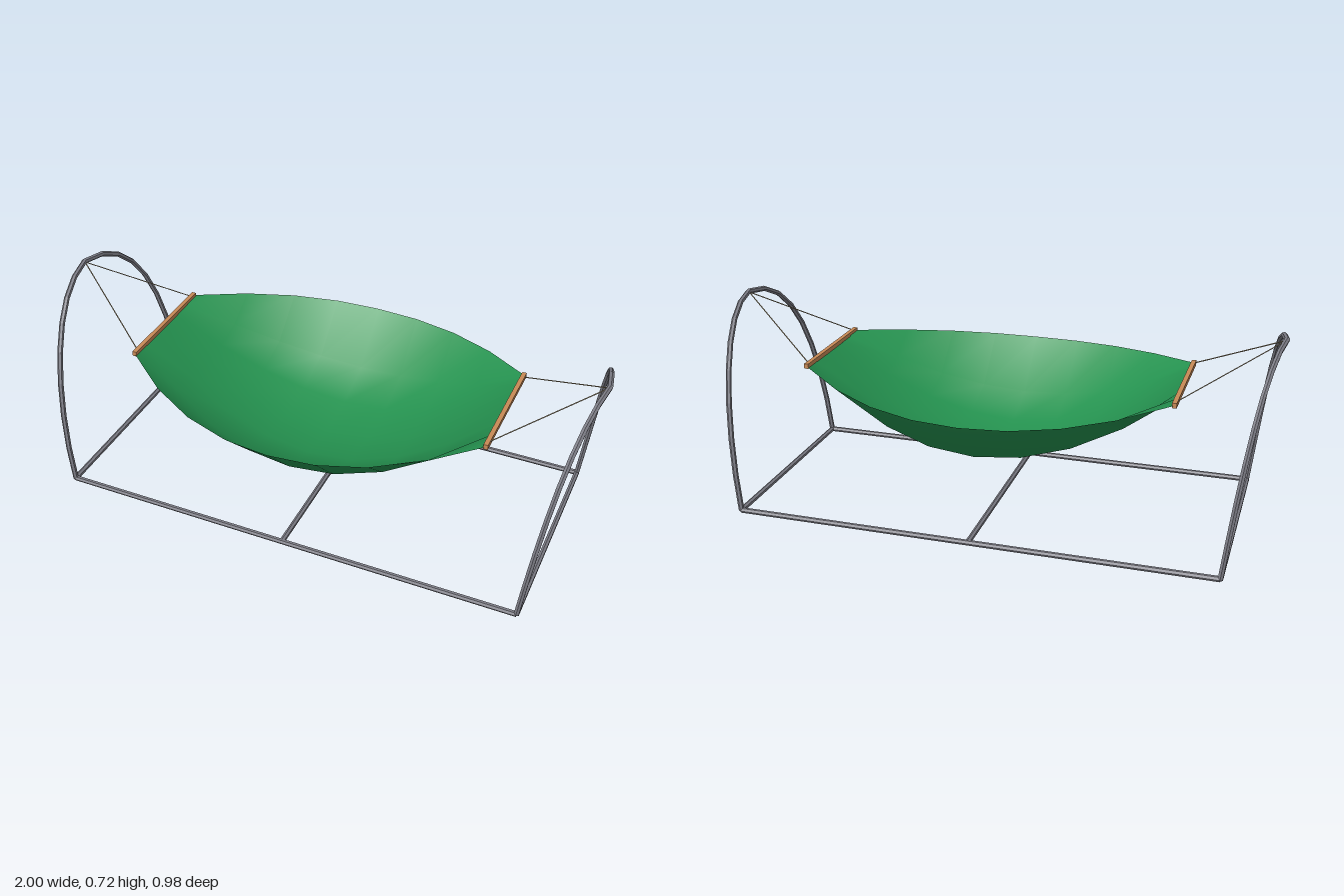
import * as THREE from 'three';

const mat = (name, color, options = {}) => {
  const m = new THREE.MeshStandardMaterial({ color, ...options });
  m.name = name;
  return m;
};
const v = (x, y, z) => new THREE.Vector3(x, y, z);

const R = 0.01, footX = 0.867, footZ = 0.4;

// Half of an end arch, from its foot up to the peak
class HalfArch extends THREE.Curve {
  constructor(sx, sz) {
    super();
    this.sx = sx;
    this.sz = sz;
  }
  getPoint(k, target = v(0, 0, 0)) {
    return target.set(
      this.sx * (footX + 0.122 * k),
      R + 0.705 * Math.sin((k * Math.PI) / 2),
      this.sz * footZ * (1 - k * k)
    );
  }
  getPointAt(k, target) { return this.getPoint(k, target); }
  getTangentAt(k, target) { return this.getTangent(k, target); }
}

export function createModel() {
  const group = new THREE.Group();
  group.name = 'hammock';
  const steel = mat('steel grey', 0x7d7d86, { flatShading: true });
  const wood = mat('wood brown', 0xc88a56);
  const cord = mat('tan cord', 0xa89878);
  const cloth = mat('green cloth', 0x259350, { side: THREE.DoubleSide });

  const add = (name, geometry, material) => {
    const m = new THREE.Mesh(geometry, material);
    m.name = name;
    group.add(m);
    return m;
  };

  // Straight round bar between two points
  const bar = (name, a, b, r, material) => {
    const d = b.clone().sub(a);
    const m = add(name, new THREE.CylinderGeometry(r, r, d.length(), 6), material);
    m.position.copy(a).add(b).multiplyScalar(0.5);
    m.quaternion.setFromUnitVectors(v(0, 1, 0), d.normalize());
  };

  // Floor frame: two long rails and three cross bars
  for (const s of [-1, 1]) bar('floorRail', v(-footX, R, s * footZ), v(footX, R, s * footZ), R, steel);
  for (const x of [-footX, 0, footX]) bar('crossBar', v(x, R, -footZ), v(x, R, footZ), R, steel);

  for (const s of [-1, 1]) {
    // End arch in two halves, leaning outwards towards the peak
    for (const z of [-1, 1]) add('endArch', new THREE.TubeGeometry(new HalfArch(s, z), 8, R, 6, false), steel);

    // Spreader bar and its two cords
    add('spreaderBar', new THREE.BoxGeometry(0.016, 0.018, 0.444), wood).position.set(s * 0.66, 0.526, 0);
    for (const z of [-0.2, 0.2]) bar('cord', v(s * 0.66, 0.53, z), v(s * 0.987, 0.712, 0), 0.002, cord);
  }

  // Cloth: a sheet that sags along its length and curls up at its long edges
  const curl = [0, 0.075, 0.305, 1];
  const geo = new THREE.PlaneGeometry(2, 2, 8, 6);
  geo.rotateX(-Math.PI / 2);
  const p = geo.attributes.position;
  for (let i = 0; i < p.count; i++) {
    const t = p.getX(i), w = p.getZ(i);
    const edge = 0.475 + 0.05 * t * t;
    const bottom = 0.227 + 0.298 * t * t;
    const c = curl[Math.round(Math.abs(w) * 3)];
    const halfWidth = 0.22 + 0.27 * (1 - Math.pow(Math.abs(t), 2.15));
    p.setXYZ(i, t * 0.66, bottom + (edge - bottom) * c, w * halfWidth);
  }
  geo.computeVertexNormals();
  add('cloth', geo, cloth);

  return group;
}
